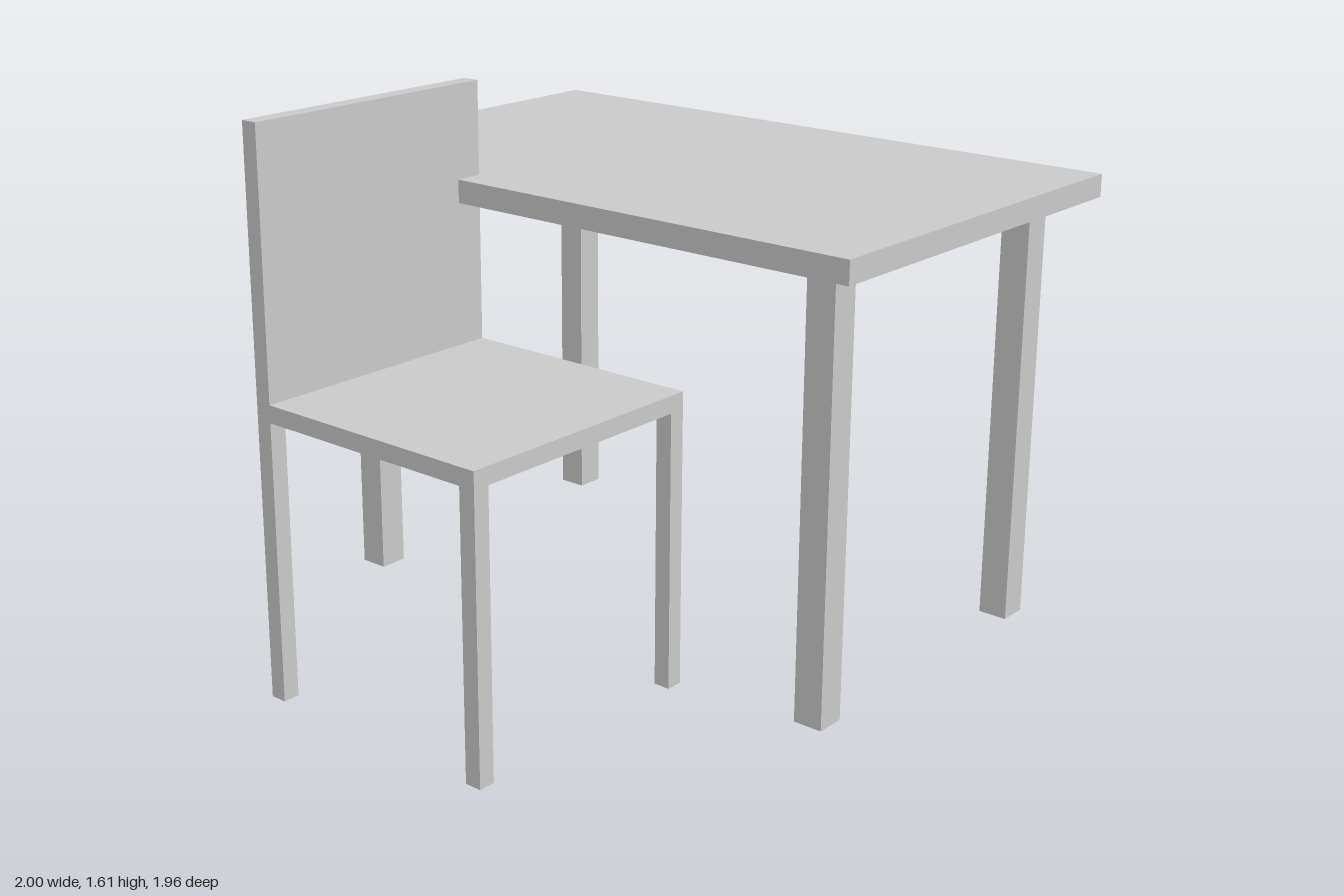
import * as THREE from 'three';

export function createModel() {
  const model = new THREE.Group();
  const lightGrey = new THREE.MeshStandardMaterial({ color: 0xcccccc });
  lightGrey.name = 'lightGrey';

  // Box given by its lower and upper limits on each axis
  function box(parent, name, [x0, x1], [y0, y1], [z0, z1]) {
    const mesh = new THREE.Mesh(new THREE.BoxGeometry(x1 - x0, y1 - y0, z1 - z0), lightGrey);
    mesh.position.set((x0 + x1) / 2, (y0 + y1) / 2, (z0 + z1) / 2);
    mesh.name = name;
    parent.add(mesh);
  }

  // Four legs, one for every pairing of x and z ranges
  function legs(parent, name, xs, height, zs) {
    for (const x of xs) for (const z of zs) box(parent, name, x, [0, height], z);
  }

  // Table
  const table = new THREE.Group();
  table.name = 'table';
  box(table, 'tableTop', [-1, 1], [1.275, 1.342], [-0.982, 0.265]);
  legs(table, 'tableLeg', [[-0.89, -0.802], [0.802, 0.89]], 1.275, [[-0.873, -0.785], [0.073, 0.161]]);
  model.add(table);

  // Chair, turned sideways so its back stands on the -x side
  const chair = new THREE.Group();
  chair.name = 'chair';
  box(chair, 'seat', [-0.375, 0.423], [0.81, 0.86], [0.182, 0.982]);
  box(chair, 'backrest', [-0.375, -0.325], [0.86, 1.612], [0.182, 0.982]);
  legs(chair, 'chairLeg', [[-0.375, -0.325], [0.373, 0.423]], 0.81, [[0.182, 0.232], [0.932, 0.982]]);
  model.add(chair);

  return model;
}
